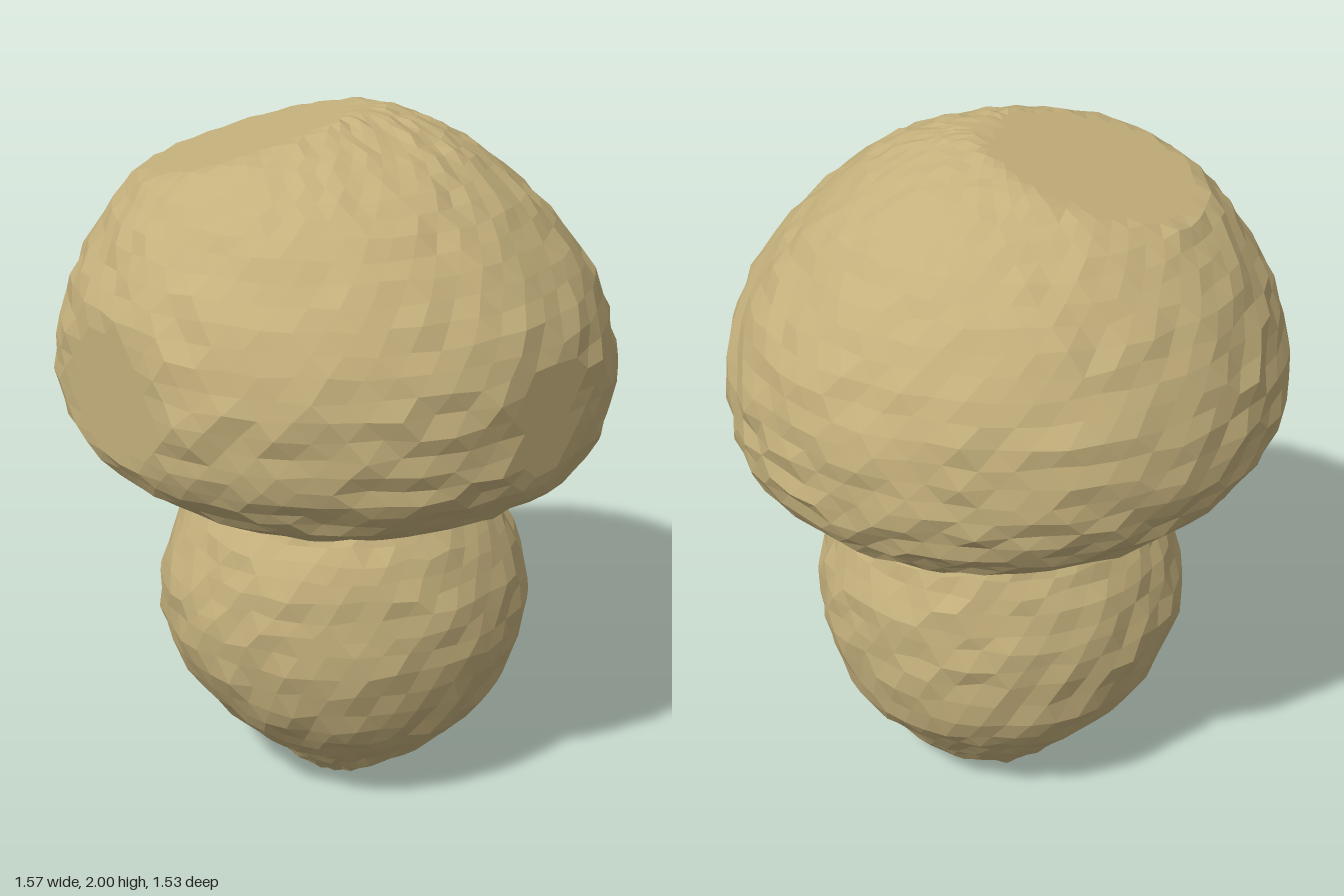
import * as THREE from 'three';

const skin = new THREE.MeshStandardMaterial({ color: 0xc4b07c, flatShading: true });
skin.name = 'mushroom tan';

// Small seeded generator for the chiselled surface
function seeded(seed) {
  return () => {
    seed = (seed * 16807) % 2147483647;
    return seed / 2147483647 - 0.5;
  };
}

// Lofts rounded rings through levels [y, left x, right x, back z, front z],
// then roughens them and shaves them flat against planes [nx, ny, nz, d]
function carvedForm(name, levels, planes, seed, rows, cols, rough) {
  const rand = seeded(seed);
  const xs = new THREE.CatmullRomCurve3(levels.map(l => new THREE.Vector3(l[0], l[1], l[2])), false, 'catmullrom', 0.5);
  const zs = new THREE.CatmullRomCurve3(levels.map(l => new THREE.Vector3(l[0], l[3], l[4])), false, 'catmullrom', 0.5);
  const cuts = planes.map(([x, y, z, d]) => {
    const n = new THREE.Vector3(x, y, z);
    const len = n.length();
    return { n: n.divideScalar(len), d: d / len };
  });
  const positions = [], index = [];
  const p = new THREE.Vector3();
  for (let i = 0; i <= rows; i++) {
    const a = xs.getPoint(i / rows), b = zs.getPoint(i / rows);
    const tip = i === 0 || i === rows;
    for (let j = 0; j < cols; j++) {
      const t = ((j + (i % 2) * 0.5) / cols) * Math.PI * 2;
      const s = tip ? 1 : 1 + rand() * rough;
      p.set(
        (a.y + a.z) / 2 + (a.z - a.y) / 2 * Math.cos(t) * s,
        a.x + (tip ? 0 : rand() * rough * 0.5),
        (b.y + b.z) / 2 + (b.z - b.y) / 2 * Math.sin(t) * s
      );
      for (const { n, d } of cuts) {
        const over = p.dot(n) - d;
        if (over > 0) p.addScaledVector(n, -over);
      }
      positions.push(p.x, p.y, p.z);
    }
  }
  for (let i = 0; i < rows; i++) {
    for (let j = 0; j < cols; j++) {
      const k = (j + 1) % cols;
      const A = i * cols + j, B = i * cols + k, C = A + cols, D = B + cols;
      if (i % 2) index.push(A, C, D, A, D, B);
      else index.push(A, C, B, B, C, D);
    }
  }
  const geometry = new THREE.BufferGeometry();
  geometry.setAttribute('position', new THREE.Float32BufferAttribute(positions, 3));
  geometry.setIndex(index);
  geometry.computeVertexNormals();
  const mesh = new THREE.Mesh(geometry, skin);
  mesh.name = name;
  return mesh;
}

export function createModel() {
  const group = new THREE.Group();
  group.name = 'mushroom';

  // Broad cap, leaning a little, with a flat slanted crown
  group.add(carvedForm('cap', [
    [1.02, 0, 0, 0, 0],
    [1.00, -0.28, 0.32, -0.34, 0.34],
    [0.98, -0.42, 0.48, -0.52, 0.50],
    [1.01, -0.55, 0.62, -0.63, 0.61],
    [1.07, -0.67, 0.715, -0.70, 0.68],
    [1.17, -0.75, 0.77, -0.75, 0.735],
    [1.30, -0.785, 0.78, -0.76, 0.755],
    [1.45, -0.76, 0.755, -0.74, 0.75],
    [1.60, -0.705, 0.68, -0.67, 0.69],
    [1.74, -0.62, 0.565, -0.57, 0.59],
    [1.85, -0.52, 0.44, -0.45, 0.47],
    [1.93, -0.42, 0.32, -0.33, 0.33],
    [1.98, -0.34, 0.20, -0.22, 0.18],
    [2.01, -0.24, 0.08, -0.13, 0.06],
    [2.03, -0.12, -0.12, -0.06, -0.06],
  ], [
    [-0.28, 0.96, -0.05, 1.907], // slanted crown
    [0, 1, 0, 2],
    [-0.78, 0, 0.63, 0.73],      // front right flank
    [0.74, 0, 0.67, 0.745],      // front left flank
    [0.93, 0.3, 0.2, 1.15],      // left side
  ], 71, 40, 54, 0.026));

  // Bulbous stem, cut at a slant underneath
  group.add(carvedForm('stem', [
    [0.00, -0.04, -0.04, -0.01, -0.01],
    [0.00, -0.10, 0.10, -0.13, 0.12],
    [0.06, -0.17, 0.24, -0.25, 0.21],
    [0.13, -0.25, 0.34, -0.32, 0.28],
    [0.21, -0.34, 0.42, -0.38, 0.36],
    [0.34, -0.45, 0.51, -0.47, 0.45],
    [0.53, -0.52, 0.56, -0.495, 0.50],
    [0.68, -0.505, 0.55, -0.485, 0.495],
    [0.82, -0.45, 0.485, -0.45, 0.465],
    [0.93, -0.38, 0.42, -0.40, 0.40],
    [1.00, -0.32, 0.36, -0.36, 0.36],
    [1.08, -0.25, 0.28, -0.28, 0.28],
    [1.10, 0, 0, 0, 0],
  ], [
    [0.3, -0.95, 0, -0.013],     // slanted base
    [0, -1, 0, 0],
    [-0.1, 0.05, 1, 0.525],      // front
  ], 137, 32, 44, 0.035));

  return group;
}
